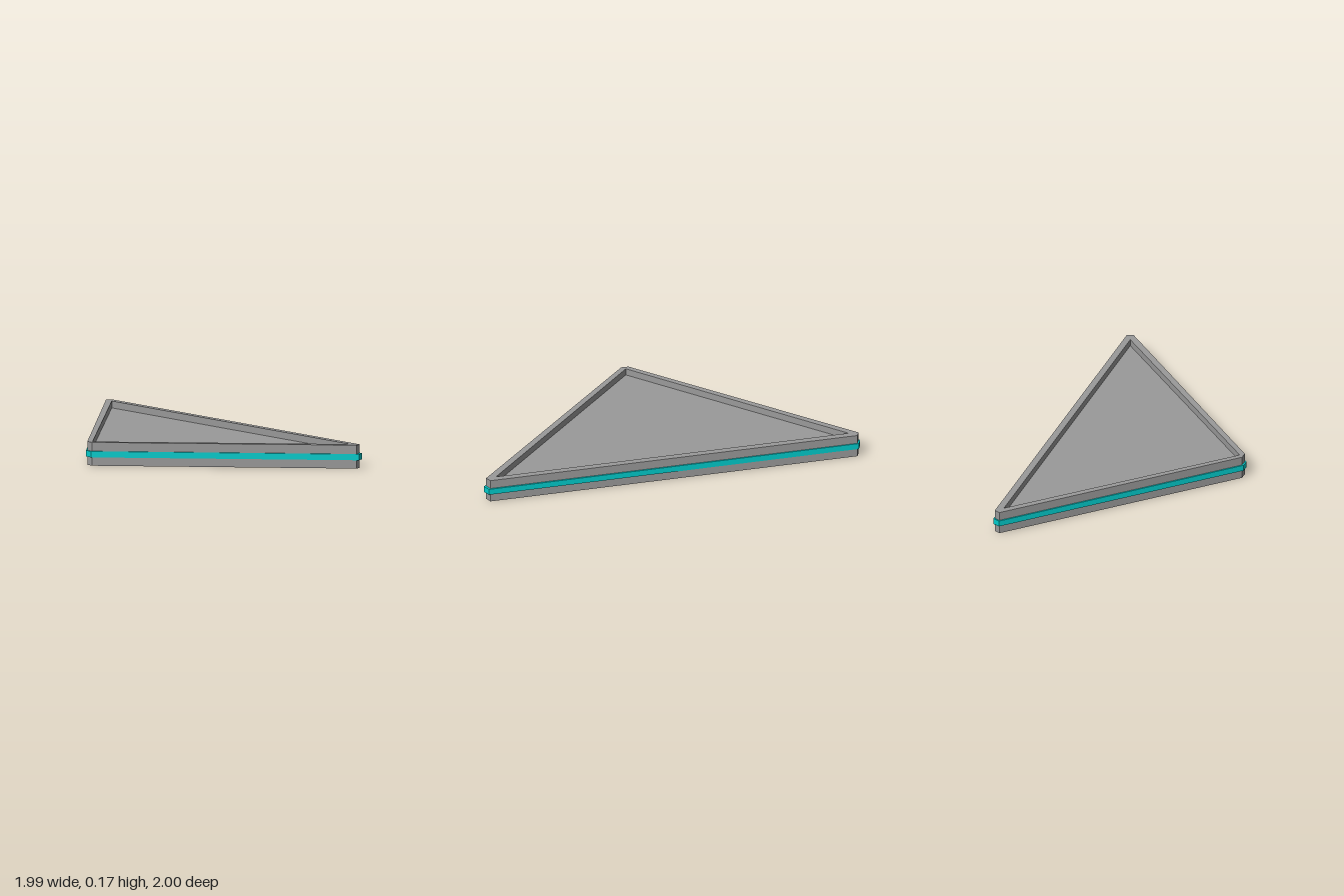
import * as THREE from 'three';

// Footprints as [x, z] corners, counter-clockwise seen from above
const BODY = [[-0.986, 0.95], [-0.95, 0.99], [0.96, 0.99], [0.978, 0.945], [-0.943, -0.988], [-0.986, -0.972]];
const BAND = [[-0.995, 0.96], [-0.957, 1], [0.977, 1], [0.995, 0.946], [-0.945, -1], [-0.995, -0.98]];
const RECESS = [[-0.948, 0.95], [0.907, 0.94], [-0.94, -0.915]];

const HEIGHT = 0.17;
const RECESS_DEPTH = 0.05;

const toPoints = (corners) => corners.map(([x, z]) => new THREE.Vector2(x, -z));

// Upright prism between two heights, optionally hollow
function prism(name, outline, hole, y0, y1, material) {
  const shape = new THREE.Shape(toPoints(outline));
  if (hole) shape.holes.push(new THREE.Path(toPoints(hole)));
  const geometry = new THREE.ExtrudeGeometry(shape, { depth: y1 - y0, bevelEnabled: false });
  geometry.rotateX(-Math.PI / 2);
  geometry.translate(0, y0, 0);
  const mesh = new THREE.Mesh(geometry, material);
  mesh.name = name;
  return mesh;
}

export function createModel() {
  const grey = new THREE.MeshStandardMaterial({ color: 0x9a9a9a, flatShading: true });
  const teal = new THREE.MeshStandardMaterial({ color: 0x00cccc, flatShading: true });

  const group = new THREE.Group();
  group.name = 'triangularPanel';

  // Solid core with a raised rim on both faces
  const low = RECESS_DEPTH;
  const high = HEIGHT - RECESS_DEPTH;
  group.add(prism('lowerRim', BODY, RECESS, 0, low, grey));
  group.add(prism('panelCore', BODY, null, low, high, grey));
  group.add(prism('upperRim', BODY, RECESS, high, HEIGHT, grey));

  // Coloured strip around the middle of the edge
  group.add(prism('edgeBand', BAND, BODY, 0.062, 0.106, teal));

  return group;
}
